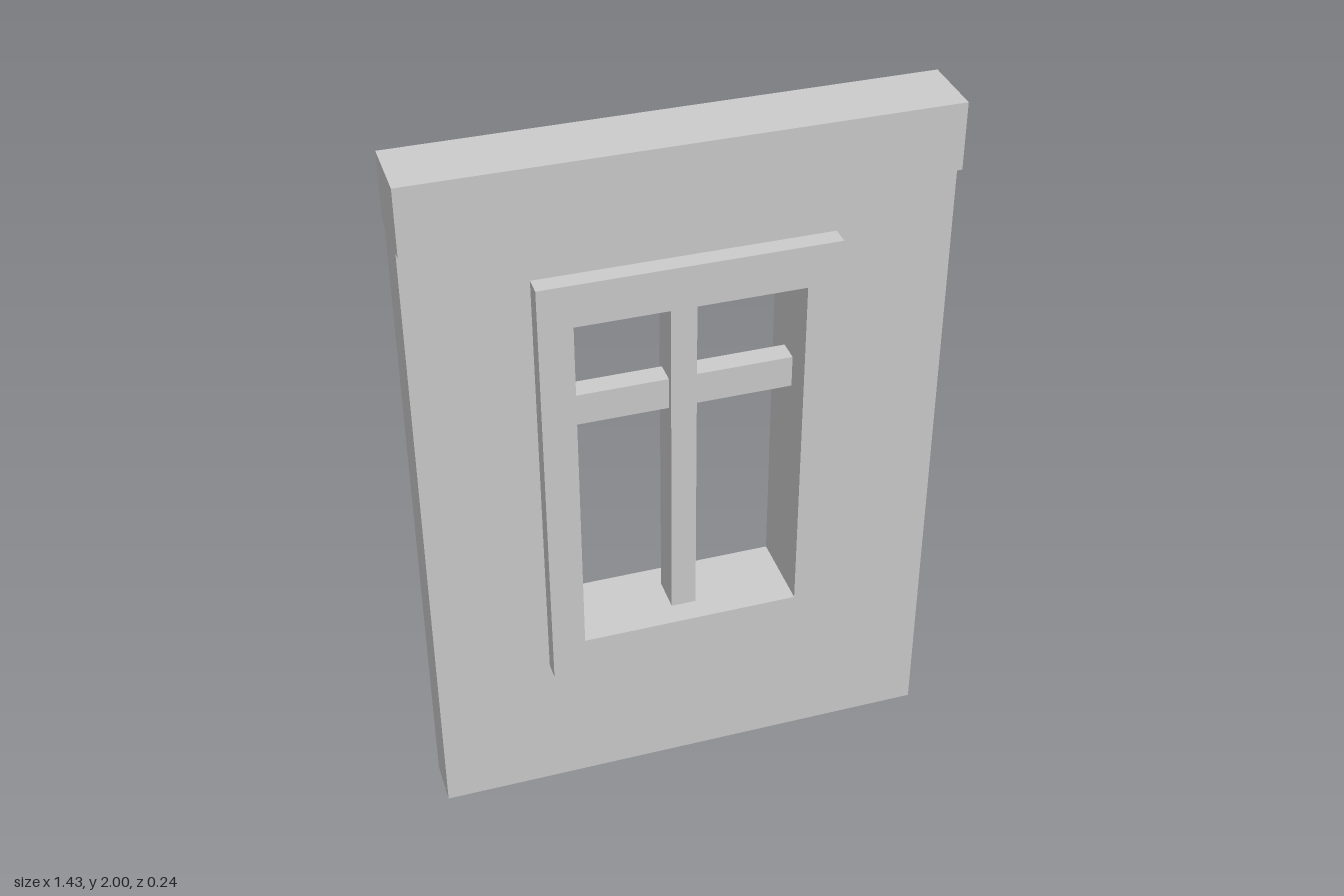
import * as THREE from 'three';

const material = new THREE.MeshStandardMaterial({ color: 0xcccccc, flatShading: true });

function rectangle(PathType, x, y0, y1) {
  const path = new PathType();
  path.moveTo(-x, y0);
  path.lineTo(x, y0);
  path.lineTo(x, y1);
  path.lineTo(-x, y1);
  path.closePath();
  return path;
}

// Rectangular slab centred on z = 0 with a rectangular opening; each rectangle is [halfWidth, bottom, top]
function piercedSlab(name, outer, opening, depth) {
  const shape = rectangle(THREE.Shape, ...outer);
  shape.holes.push(rectangle(THREE.Path, ...opening));
  const geometry = new THREE.ExtrudeGeometry(shape, { depth, bevelEnabled: false });
  geometry.translate(0, 0, -depth / 2);
  const mesh = new THREE.Mesh(geometry, material);
  mesh.name = name;
  return mesh;
}

function box(name, x0, x1, y0, y1, depth) {
  const mesh = new THREE.Mesh(new THREE.BoxGeometry(x1 - x0, y1 - y0, depth), material);
  mesh.position.set((x0 + x1) / 2, (y0 + y1) / 2, 0);
  mesh.name = name;
  return mesh;
}

export function createModel() {
  const group = new THREE.Group();
  group.name = 'windowWall';

  const frameOutline = [0.396, 0.43, 1.68];
  const opening = [0.305, 0.54, 1.56];
  const [openX, openBottom, openTop] = opening;
  const postX = 0.035;

  // Wall panel and the coping along its top
  group.add(piercedSlab('wall', [0.713, 0, 1.815], frameOutline, 0.132));
  group.add(box('coping', -0.713, 0.713, 1.815, 2, 0.19));

  // Window frame, standing proud of the wall on both sides
  group.add(piercedSlab('windowFrame', frameOutline, opening, 0.236));

  // Central post and the thinner crossbar on either side of it
  group.add(box('centrePost', -postX, postX, openBottom, openTop, 0.1));
  group.add(box('leftCrossbar', postX, openX, 1.205, 1.296, 0.062));
  group.add(box('rightCrossbar', -openX, -postX, 1.205, 1.296, 0.062));

  return group;
}
